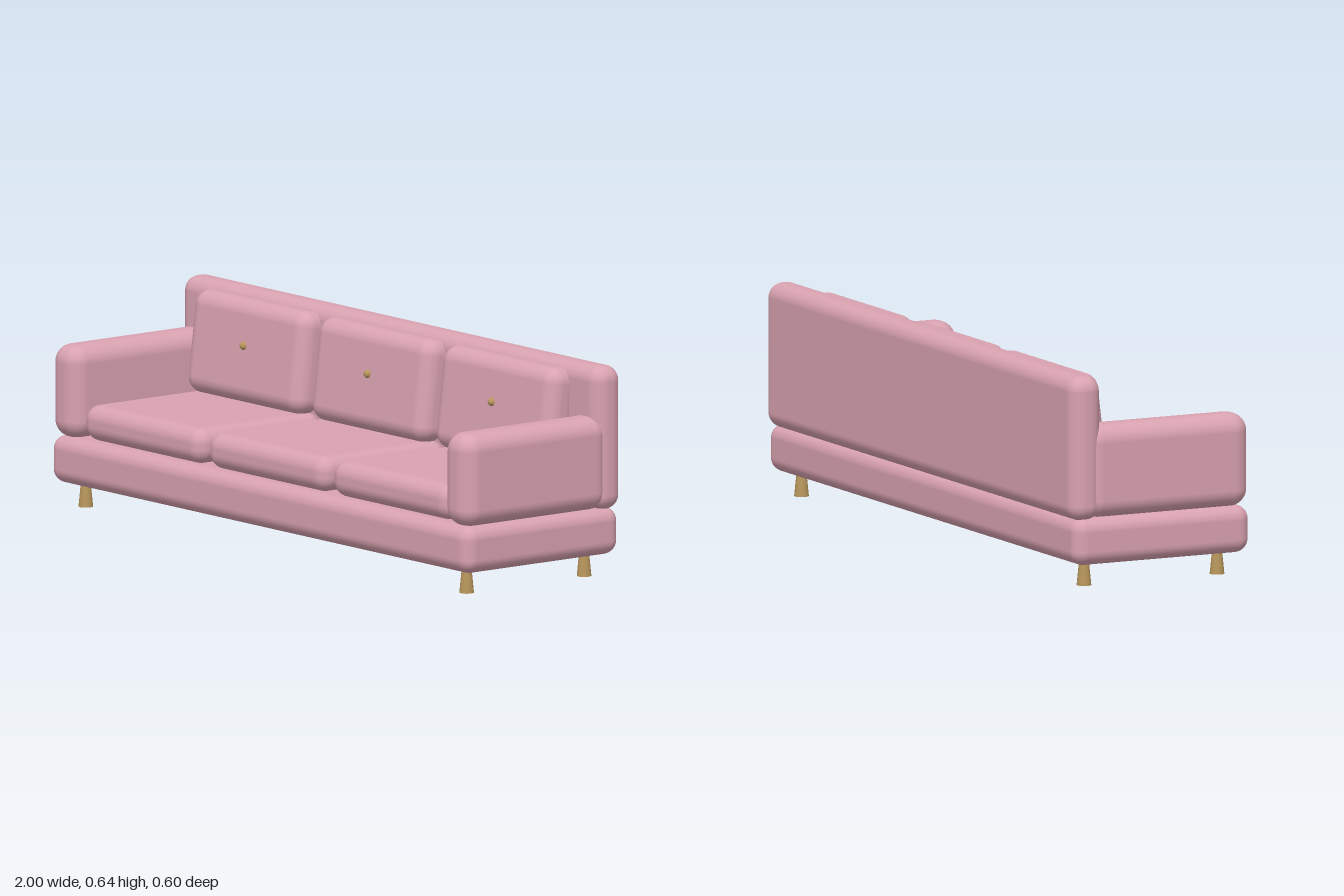
import * as THREE from 'three';
import { RoundedBoxGeometry } from 'three/addons/geometries/RoundedBoxGeometry.js';

export function createModel() {
  const sofa = new THREE.Group();
  sofa.name = 'sofa';
  const fabric = new THREE.MeshStandardMaterial({ name: 'pink fabric', color: 0xd9a2b0 });
  const wood = new THREE.MeshStandardMaterial({ name: 'light wood', color: 0xb8965c });

  function add(name, geometry, material, x, y, z, parent = sofa) {
    const mesh = new THREE.Mesh(geometry, material);
    mesh.name = name;
    mesh.position.set(x, y, z);
    parent.add(mesh);
    return mesh;
  }

  // Upholstered block given by its lower and upper corners
  function block(name, min, max, radius) {
    const size = max.map((v, i) => v - min[i]);
    const mid = max.map((v, i) => (v + min[i]) / 2);
    return add(name, new RoundedBoxGeometry(...size, 6, radius), fabric, ...mid);
  }

  // Frame
  block('base', [-1, 0.07, -0.29], [1, 0.213, 0.3], 0.042);
  block('backrest', [-1, 0.204, -0.3], [1, 0.64, -0.197], 0.046);
  block('rightArm', [-1, 0.208, -0.25], [-0.875, 0.49, 0.3], 0.054);
  block('leftArm', [0.875, 0.208, -0.25], [1, 0.49, 0.3], 0.054);

  // Three seats, each with a leaning back cushion and a button
  const seatGeo = new RoundedBoxGeometry(0.565, 0.107, 0.485, 6, 0.045);
  const cushionGeo = new RoundedBoxGeometry(0.548, 0.31, 0.11, 6, 0.048);
  const buttonGeo = new THREE.SphereGeometry(0.013, 20, 14);
  for (const x of [-0.593, 0, 0.593]) {
    add('seatCushion', seatGeo, fabric, x, 0.265, 0.033);
    const back = new THREE.Group();
    back.name = 'backCushionSet';
    back.position.set(x, 0.468, -0.172);
    back.rotation.x = -0.12;
    sofa.add(back);
    add('backCushion', cushionGeo, fabric, 0, 0, 0, back);
    add('button', buttonGeo, wood, 0, 0.017, 0.054, back);
  }

  // Tapered legs, wider at the foot
  const legGeo = new THREE.CylinderGeometry(0.014, 0.022, 0.08, 24);
  for (const x of [-0.91, 0.91]) {
    for (const z of [0.228, -0.218]) add('leg', legGeo, wood, x, 0.04, z);
  }
  return sofa;
}
